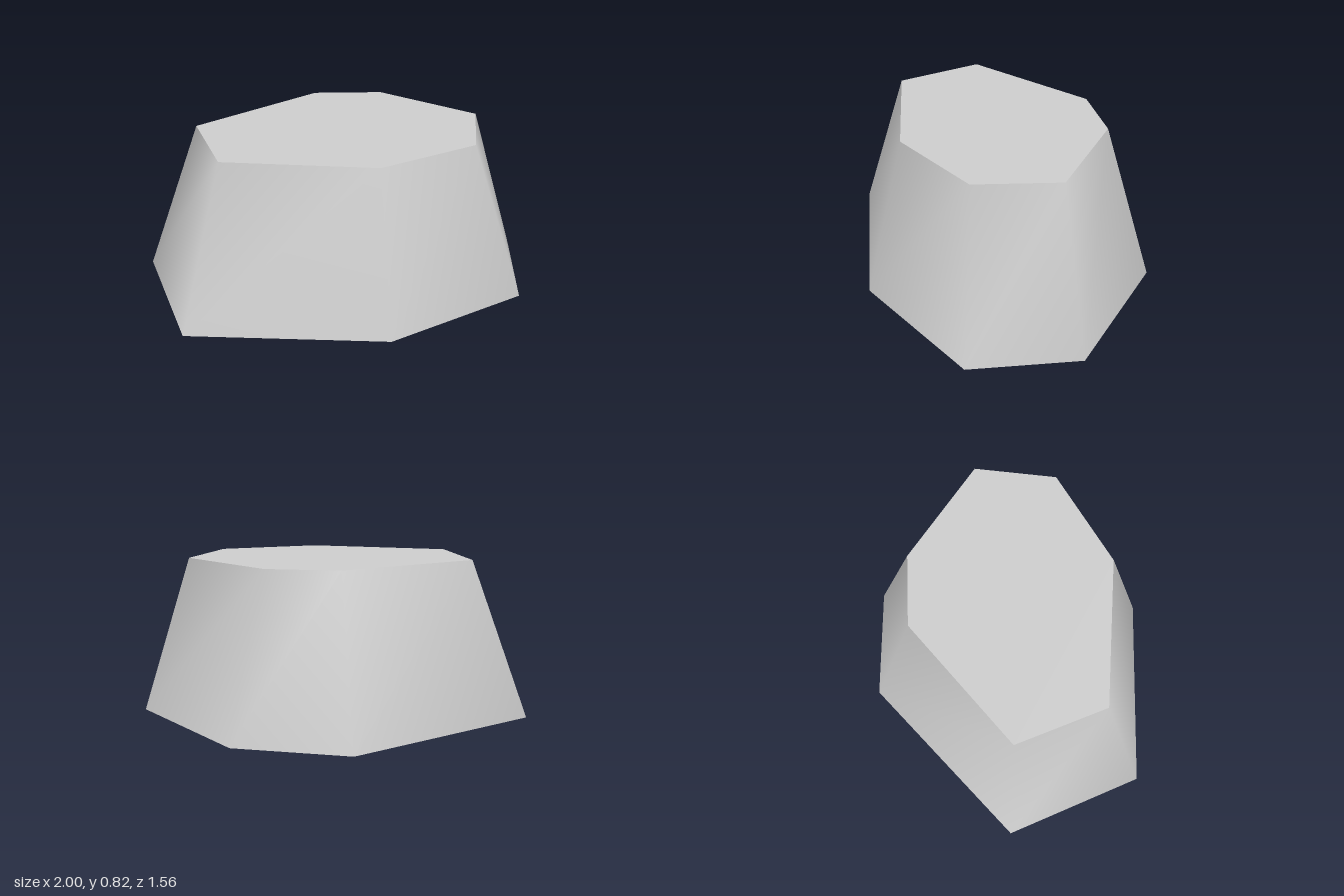
import * as THREE from 'three';

// Seven corners as [x, z], clockwise seen from above
const BASE = [[-1, -0.29], [-0.03, -0.78], [0.54, -0.61], [1, 0.05], [0.81, 0.58], [0.04, 0.78], [-0.92, 0.46]];
const RIM = [[-0.71, -0.19], [0, -0.51], [0.36, -0.42], [0.74, 0.04], [0.57, 0.43], [0.04, 0.56], [-0.67, 0.29]];
const HEIGHT = 0.82;

function buildGeometry(positions, indices) {
  const geometry = new THREE.BufferGeometry();
  geometry.setAttribute('position', new THREE.Float32BufferAttribute(positions, 3));
  geometry.setIndex(indices);
  geometry.computeVertexNormals();
  return geometry;
}

const ring = (points, y) => points.flatMap(([x, z]) => [x, y, z]);

export function createModel() {
  const group = new THREE.Group();
  group.name = 'taperedRock';
  const stone = new THREE.MeshStandardMaterial({ color: 0xcccccc, side: THREE.DoubleSide });
  stone.name = 'stone grey';
  const n = BASE.length;

  // Tapering wall, smooth around its corners and open underneath
  const wallIndices = [];
  for (let a = 0; a < n; a++) {
    const b = (a + 1) % n;
    wallIndices.push(b, a, a + n, b, a + n, b + n);
  }
  const wall = new THREE.Mesh(buildGeometry([...ring(BASE, 0), ...ring(RIM, HEIGHT)], wallIndices), stone);
  wall.name = 'wall';

  // Flat top with a sharp rim
  const topIndices = [];
  for (let i = 1; i < n - 1; i++) topIndices.push(0, i + 1, i);
  const top = new THREE.Mesh(buildGeometry(ring(RIM, HEIGHT), topIndices), stone);
  top.name = 'top';

  group.add(wall, top);
  return group;
}
